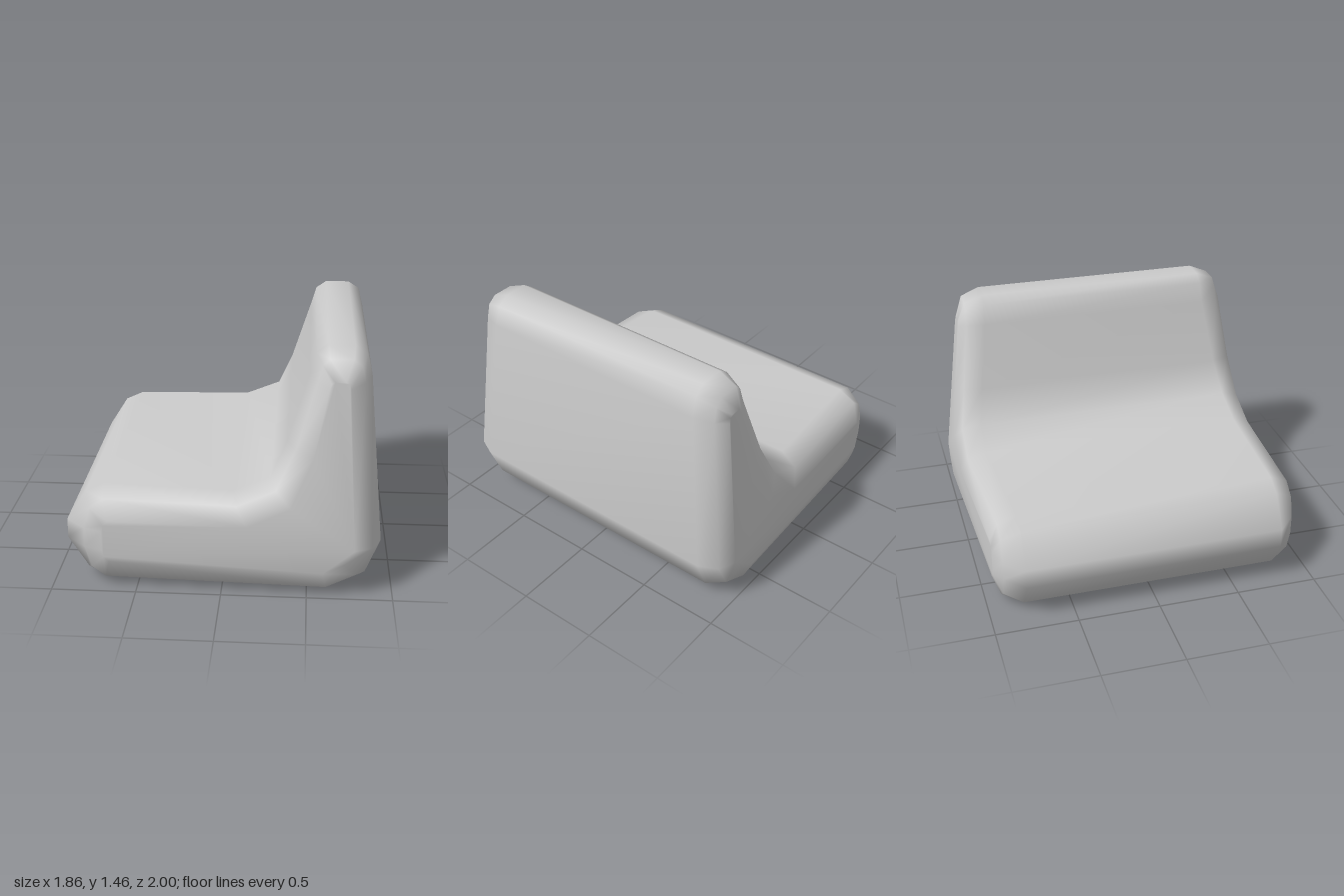
import * as THREE from 'three';

// Seat outline, clockwise: [outer x, y, bevel x, y, side face x, y]
const OUTLINE = [
  [-0.93, 0.24, -0.81, 0.24, -0.70, 0.24],
  [-0.93, 0.36, -0.81, 0.36, -0.70, 0.36],
  [-0.81, 0.55, -0.77, 0.49, -0.69, 0.40],
  [-0.70, 0.60, -0.69, 0.55, -0.66, 0.43],
  [0.06, 0.60, 0.09, 0.55, 0.15, 0.44],
  [0.28, 0.69, 0.31, 0.65, 0.40, 0.56],
  [0.37, 0.90, 0.42, 0.89, 0.52, 0.85],
  [0.49, 1.29, 0.535, 1.28, 0.60, 1.25],
  [0.525, 1.41, 0.56, 1.37, 0.61, 1.28],
  [0.59, 1.455, 0.60, 1.41, 0.63, 1.29],
  [0.74, 1.455, 0.73, 1.41, 0.69, 1.29],
  [0.81, 1.41, 0.78, 1.37, 0.71, 1.28],
  [0.84, 1.29, 0.80, 1.28, 0.72, 1.25],
  [0.925, 0.31, 0.87, 0.31, 0.77, 0.31],
  [0.84, 0.10, 0.79, 0.14, 0.71, 0.22],
  [0.62, 0, 0.61, 0.05, 0.59, 0.16],
  [-0.70, 0, -0.69, 0.05, -0.66, 0.17],
  [-0.81, 0.05, -0.77, 0.11, -0.69, 0.20],
];
const INSET = [0.16, 0.045, 0]; // how far each loop sits inside the side face

// Half width: narrows toward the seat edge and the top of the backrest
function halfWidth(x, y) {
  const seat = 0.05 * THREE.MathUtils.clamp((0.17 - x) / 0.87, 0, 1);
  const back = 0.11 * THREE.MathUtils.clamp((y - 0.52) / 0.77, 0, 1);
  return 1 - seat - back;
}

function seatGeometry() {
  const n = OUTLINE.length;
  const positions = [];
  const index = [];

  // Six loops across the width: side face, bevel, outer, outer, bevel, side face
  const layers = [[2, -1], [1, -1], [0, -1], [0, 1], [1, 1], [2, 1]];
  for (const [k, side] of layers) {
    for (const p of OUTLINE) {
      const z = side * (halfWidth(p[4], p[5]) - INSET[k]);
      positions.push(p[2 * k], p[2 * k + 1], z);
    }
  }

  // Skin between neighbouring loops
  for (let l = 0; l < layers.length - 1; l++) {
    for (let i = 0; i < n; i++) {
      const j = (i + 1) % n;
      const a = l * n + i, b = l * n + j, c = a + n, d = b + n;
      index.push(a, c, d, a, d, b);
    }
  }

  // Side faces
  const face = OUTLINE.map((p) => new THREE.Vector2(p[4], p[5]));
  const last = (layers.length - 1) * n;
  for (const [a, b, c] of THREE.ShapeUtils.triangulateShape(face, [])) {
    const ccw = THREE.ShapeUtils.area([face[a], face[b], face[c]]) > 0;
    const [s, t] = ccw ? [b, c] : [c, b];
    index.push(last + a, last + s, last + t, a, t, s);
  }

  const geometry = new THREE.BufferGeometry();
  geometry.setAttribute('position', new THREE.Float32BufferAttribute(positions, 3));
  geometry.setIndex(index);
  geometry.computeVertexNormals();
  return geometry;
}

export function createModel() {
  const group = new THREE.Group();
  group.name = 'cushionedSeat';
  const seat = new THREE.Mesh(seatGeometry(), new THREE.MeshStandardMaterial({ color: 0xcccccc }));
  seat.name = 'seatAndBackrest';
  group.add(seat);
  return group;
}
